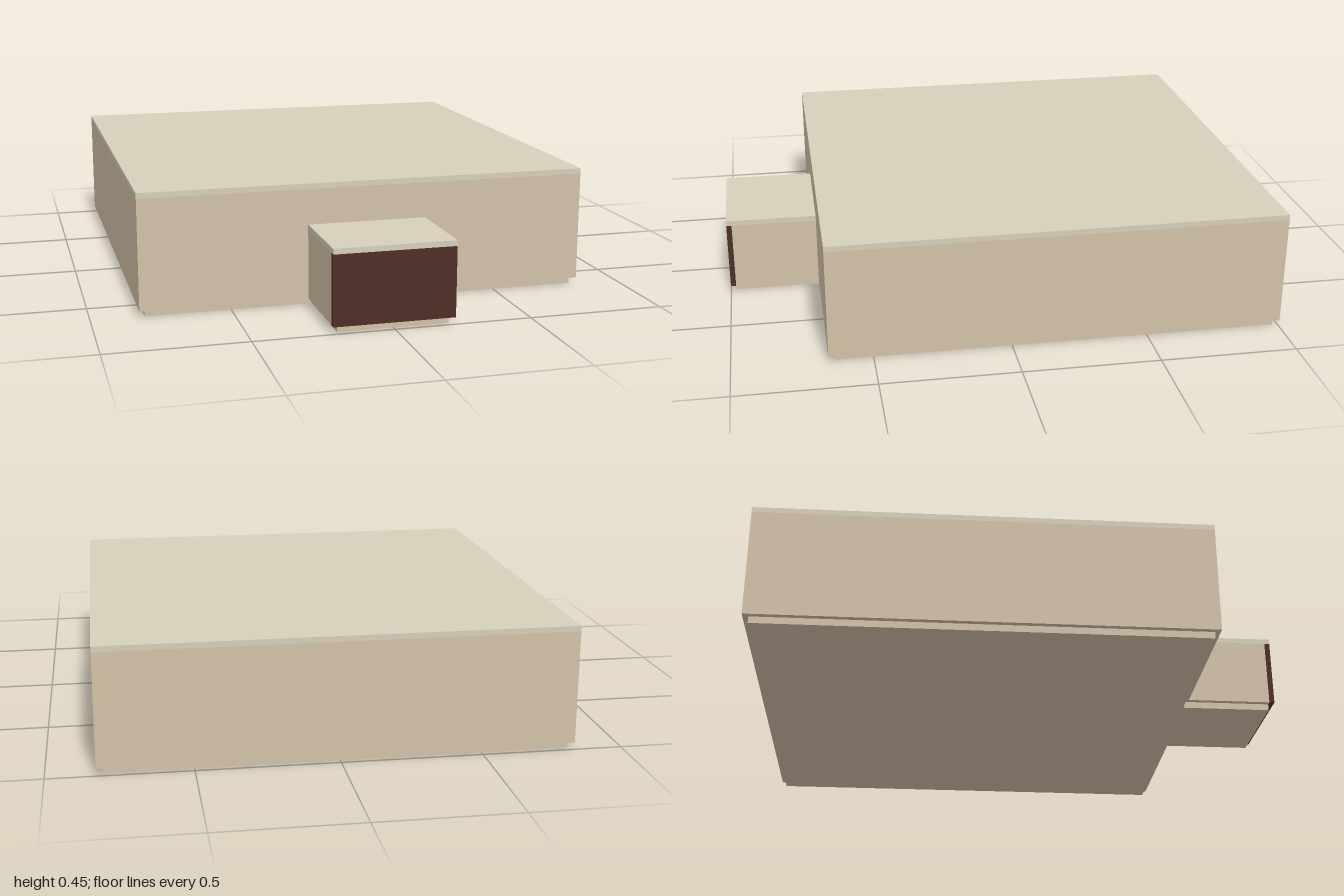
import * as THREE from 'three';

const wallMat = new THREE.MeshStandardMaterial({ color: 0xd3c1a8 });
const roofMat = new THREE.MeshStandardMaterial({ color: 0xd6cfba });
const doorMat = new THREE.MeshStandardMaterial({ color: 0x4f2e27 });

// Box centred on x, spanning the given y and z ranges
function slab(name, halfWidth, [y0, y1], [z0, z1], material) {
  const mesh = new THREE.Mesh(new THREE.BoxGeometry(halfWidth * 2, y1 - y0, z1 - z0), material);
  mesh.name = name;
  mesh.position.set(0, (y0 + y1) / 2, (z0 + z1) / 2);
  return mesh;
}

export function createModel() {
  const model = new THREE.Group();
  model.name = 'flatRoofedBuilding';

  // Main block on a slightly recessed plinth
  const hall = new THREE.Group();
  hall.name = 'mainHall';
  hall.add(
    slab('hallPlinth', 0.81, [0, 0.025], [-0.98, 0.64], wallMat),
    slab('hallWalls', 0.83, [0.025, 0.43], [-1, 0.66], wallMat),
    slab('hallRoof', 0.83, [0.43, 0.45], [-1, 0.66], roofMat)
  );

  // Entrance porch closed by a dark door
  const porch = new THREE.Group();
  porch.name = 'entrancePorch';
  porch.add(
    slab('porchPlinth', 0.2, [0, 0.025], [0.64, 0.98], wallMat),
    slab('porchWalls', 0.22, [0.025, 0.28], [0.66, 0.98], wallMat),
    slab('porchRoof', 0.22, [0.28, 0.3], [0.66, 1], roofMat),
    slab('door', 0.22, [0.025, 0.28], [0.98, 1], doorMat)
  );

  model.add(hall, porch);
  return model;
}
